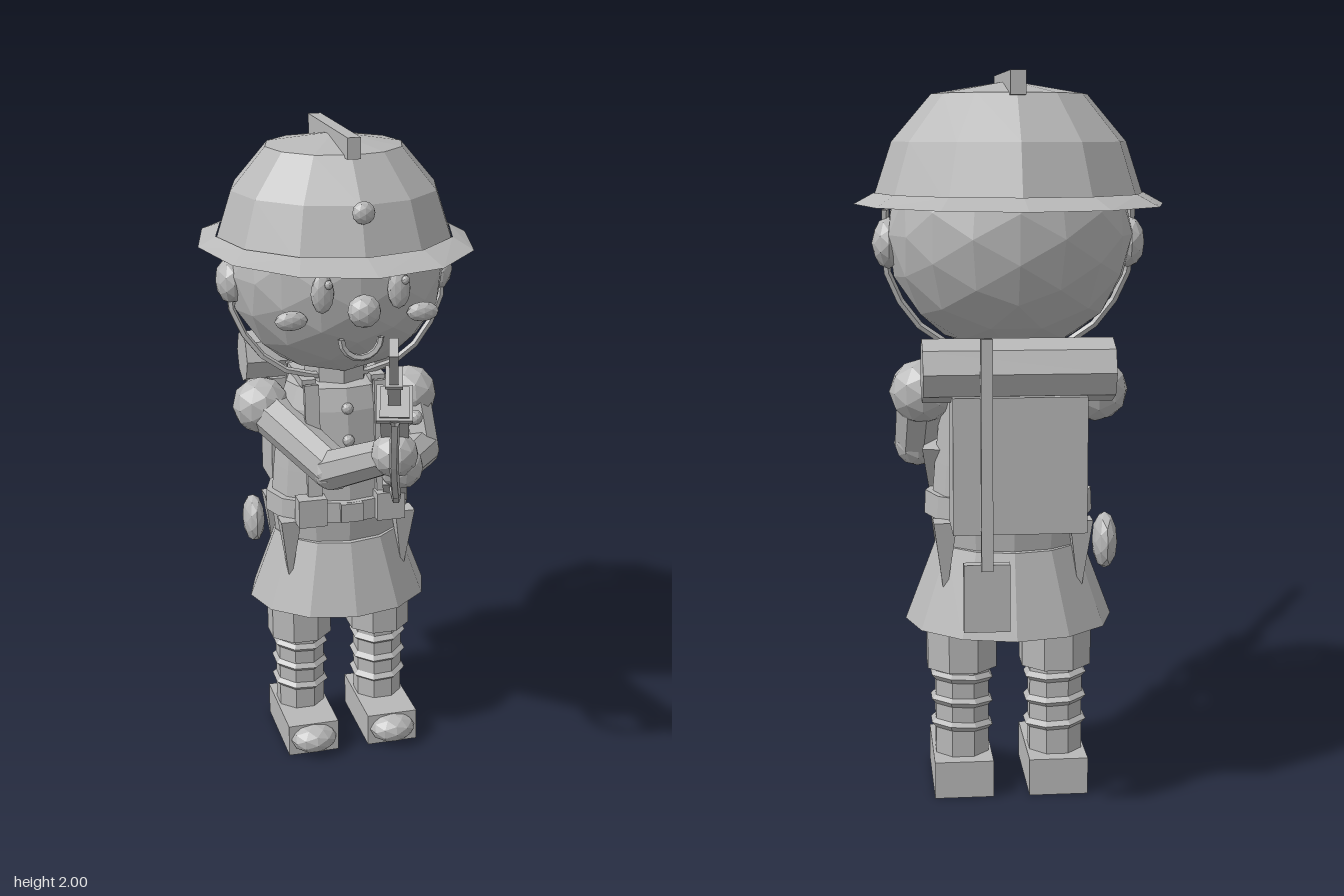
import * as THREE from 'three';

const CZ = -0.355; // body axis in z

export function createModel() {
  const model = new THREE.Group();
  const clay = new THREE.MeshStandardMaterial({ color: 0xb8b8b8, flatShading: true, side: THREE.DoubleSide });
  clay.name = 'plainGrey';

  const add = (name, geo, x = 0, y = 0, z = 0, parent = model) => {
    const m = new THREE.Mesh(geo, clay);
    m.name = name;
    m.position.set(x, y, z);
    parent.add(m);
    return m;
  };
  const box = (name, w, h, d, x, y, z, parent) => add(name, new THREE.BoxGeometry(w, h, d), x, y, z, parent);
  const ball = (name, rx, ry, rz, x, y, z, detail = 1) =>
    add(name, new THREE.IcosahedronGeometry(1, detail).scale(rx, ry, rz), x, y, z);
  const lathe = (name, pts, sides, depth, z = CZ) =>
    add(name, new THREE.LatheGeometry(pts.map(p => new THREE.Vector2(...p)), sides).scale(1, 1, depth), 0, 0, z);
  const V = p => new THREE.Vector3(...p);
  const limb = (name, a, b, r0, r1, sides = 8) => {
    const d = V(b).sub(V(a));
    const m = add(name, new THREE.CylinderGeometry(r1, r0, d.length(), sides));
    m.position.copy(V(a)).addScaledVector(d, 0.5);
    m.quaternion.setFromUnitVectors(new THREE.Vector3(0, 1, 0), d.normalize());
    return m;
  };
  const tube = (name, pts, r, steps = 8) =>
    add(name, new THREE.TubeGeometry(new THREE.CatmullRomCurve3(pts.map(V)), steps, r, 5));

  // Head and face
  ball('head', 0.335, 0.325, 0.312, 0, 1.575, CZ, 2);
  ball('nose', 0.05, 0.05, 0.045, 0, 1.52, -0.015);
  for (const s of [-1, 1]) {
    ball('ear', 0.045, 0.07, 0.07, s * 0.327, 1.55, CZ);
    ball('eye', 0.035, 0.06, 0.022, s * 0.115, 1.57, -0.052);
    ball('eyeGlint', 0.012, 0.014, 0.01, s * 0.115 + 0.014, 1.6, -0.032);
    ball('cheek', 0.05, 0.03, 0.022, s * 0.2, 1.485, -0.09);
  }
  const mouth = add('mouth', new THREE.TorusGeometry(0.06, 0.011, 5, 8, Math.PI), 0, 1.43, -0.05);
  mouth.rotation.z = Math.PI;
  tube('chinStrap', [[-0.335, 1.64, -0.355], [-0.325, 1.45, -0.325], [-0.2, 1.285, -0.305], [0, 1.245, -0.295],
    [0.2, 1.285, -0.305], [0.325, 1.45, -0.325], [0.335, 1.64, -0.355]], 0.011, 14);

  // Helmet: dome, brim stretched front to back, crest, badge
  lathe('helmetDome', [[0.37, 1.66], [0.317, 1.82], [0.21, 1.945], [0, 1.98]], 12, 1, -0.363);
  const brim = new THREE.CylinderGeometry(0.365, 0.42, 0.03, 12, 1, true);
  const bp = brim.attributes.position;
  for (let i = 0; i < bp.count; i++) bp.setZ(i, bp.getZ(i) * (bp.getY(i) < 0 ? 1.215 : 1.05));
  add('helmetBrim', brim, 0, 1.67, -0.365);
  box('helmetCrest', 0.04, 0.062, 0.48, 0, 1.969, -0.363);
  ball('helmetBadge', 0.034, 0.034, 0.025, 0, 1.805, -0.02);

  // Torso, belt and skirt
  add('neck', new THREE.CylinderGeometry(0.1, 0.1, 0.12, 8), 0, 1.25, CZ);
  lathe('tunic', [[0.2, 0.7], [0.215, 0.82], [0.205, 0.95], [0.185, 1.15], [0.16, 1.22], [0, 1.25]], 12, 0.8);
  add('belt', new THREE.CylinderGeometry(0.232, 0.235, 0.065, 12).scale(1, 1, 0.78), 0, 0.833, -0.347);
  lathe('skirt', [[0.29, 0.5], [0.205, 0.725], [0.1, 0.73]], 12, 0.87);
  box('beltBuckle', 0.07, 0.06, 0.02, 0, 0.835, -0.165);
  for (const y of [0.95, 1.06, 1.16]) ball('button', 0.019, 0.019, 0.015, 0, y, -0.185 - (y - 0.95) * 0.12);
  for (const s of [-1, 1]) {
    box('beltPouch', 0.09, 0.09, 0.06, s * 0.125, 0.845, -0.185);
    for (const f of [-1, 1]) {
      const strap = box('shoulderStrap', 0.045, 0.38, 0.02, s * 0.11, 1.05, CZ + f * 0.143);
      strap.rotation.x = -f * 0.1;
      const frog = add('hangingFrog', new THREE.CylinderGeometry(0.045, 0.006, 0.2, 4), s * 0.185, 0.705, -0.353 + f * 0.12);
      frog.rotation.y = Math.PI / 4;
    }
    box('strapTop', 0.045, 0.025, 0.2, s * 0.11, 1.235, CZ);
  }
  ball('canteen', 0.035, 0.08, 0.065, -0.258, 0.735, -0.44);

  // Legs with wrappings and boots
  for (const s of [-1, 1]) {
    const x = s * 0.133;
    const oct = (name, r, h, y) => add(name, new THREE.CylinderGeometry(r, r, h, 8).rotateY(Math.PI / 8), x, y, -0.345);
    oct('shortsLeg', 0.105, 0.24, 0.48);
    oct('lowerLeg', 0.08, 0.28, 0.235);
    for (const y of [0.33, 0.26, 0.19]) {
      const wrap = add('legWrap', new THREE.TorusGeometry(0.079, 0.014, 4, 8).rotateX(Math.PI / 2), x, y, -0.345);
      wrap.rotation.set(0.06, Math.PI / 8, s * 0.06);
    }
    box('boot', 0.165, 0.105, 0.305, x, 0.055, -0.307);
    ball('bootToe', 0.076, 0.048, 0.065, x, 0.058, -0.158);
  }

  // Arms holding the rifle
  const arms = [
    [[0.24, 1.145, -0.362], [0.25, 0.985, -0.27], [0.125, 1.015, -0.055]],
    [[-0.24, 1.145, -0.362], [-0.07, 1.0, -0.12], [0.05, 1.13, 0.135]],
  ];
  for (const [sh, el, hand] of arms) {
    ball('shoulder', 0.09, 0.09, 0.09, ...sh);
    limb('upperArm', sh, el, 0.07, 0.065);
    ball('elbow', 0.066, 0.066, 0.066, ...el);
    limb('forearm', el, hand, 0.065, 0.055);
    ball('hand', 0.07, 0.07, 0.07, ...hand);
  }

  // Backpack, bedroll and shovel
  box('backpack', 0.35, 0.36, 0.16, 0, 0.995, -0.603);
  add('bedroll', new THREE.CylinderGeometry(0.084, 0.084, 0.5, 8).rotateZ(Math.PI / 2), 0, 1.235, -0.6);
  const handle = box('shovelHandle', 0.03, 0.6, 0.03, 0.09, 1.03, -0.71);
  handle.rotation.x = 0.025;
  box('shovelBlade', 0.12, 0.18, 0.03, 0.09, 0.655, -0.705);

  // Rifle, built along its own z with the muzzle forward
  const rifle = new THREE.Group();
  rifle.name = 'rifle';
  rifle.position.set(-0.02, 1.37, 0.37);
  rifle.lookAt(-0.32, 1.986, 1.37);
  model.add(rifle);
  box('bayonet', 0.022, 0.045, 0.31, 0, 0, 0.45, rifle);
  box('bayonetRing', 0.045, 0.055, 0.03, 0, 0, 0.29, rifle);
  box('barrel', 0.035, 0.035, 0.31, 0, 0.008, 0.14, rifle);
  box('foreStock', 0.08, 0.085, 0.56, 0, 0, -0.28, rifle);
  box('stockBand', 0.1, 0.1, 0.035, 0, 0, -0.03, rifle);
  box('frontSight', 0.015, 0.03, 0.02, 0, 0.055, -0.34, rifle);
  box('receiver', 0.07, 0.06, 0.17, 0, 0.025, -0.53, rifle);
  const butt = new THREE.BoxGeometry(0.075, 0.2, 0.3);
  const p = butt.attributes.position;
  for (let i = 0; i < p.count; i++) if (p.getZ(i) > 0 && p.getY(i) > 0) p.setY(i, 0.06);
  box('butt', 0.01, 0.01, 0.01, 0, -0.035, -0.72, rifle).geometry = butt;
  limb('boltHandle', [0.11, 1.12, -0.08], [0.18, 1.155, -0.09], 0.012, 0.012, 6);
  ball('boltKnob', 0.024, 0.024, 0.024, 0.18, 1.155, -0.09);
  tube('sling', [[-0.02, 1.31, 0.375], [0, 1.145, 0.3], [0.04, 1.015, 0.19], [0.08, 0.96, 0.035], [0.11, 0.935, -0.08]], 0.014);

  return model;
}
